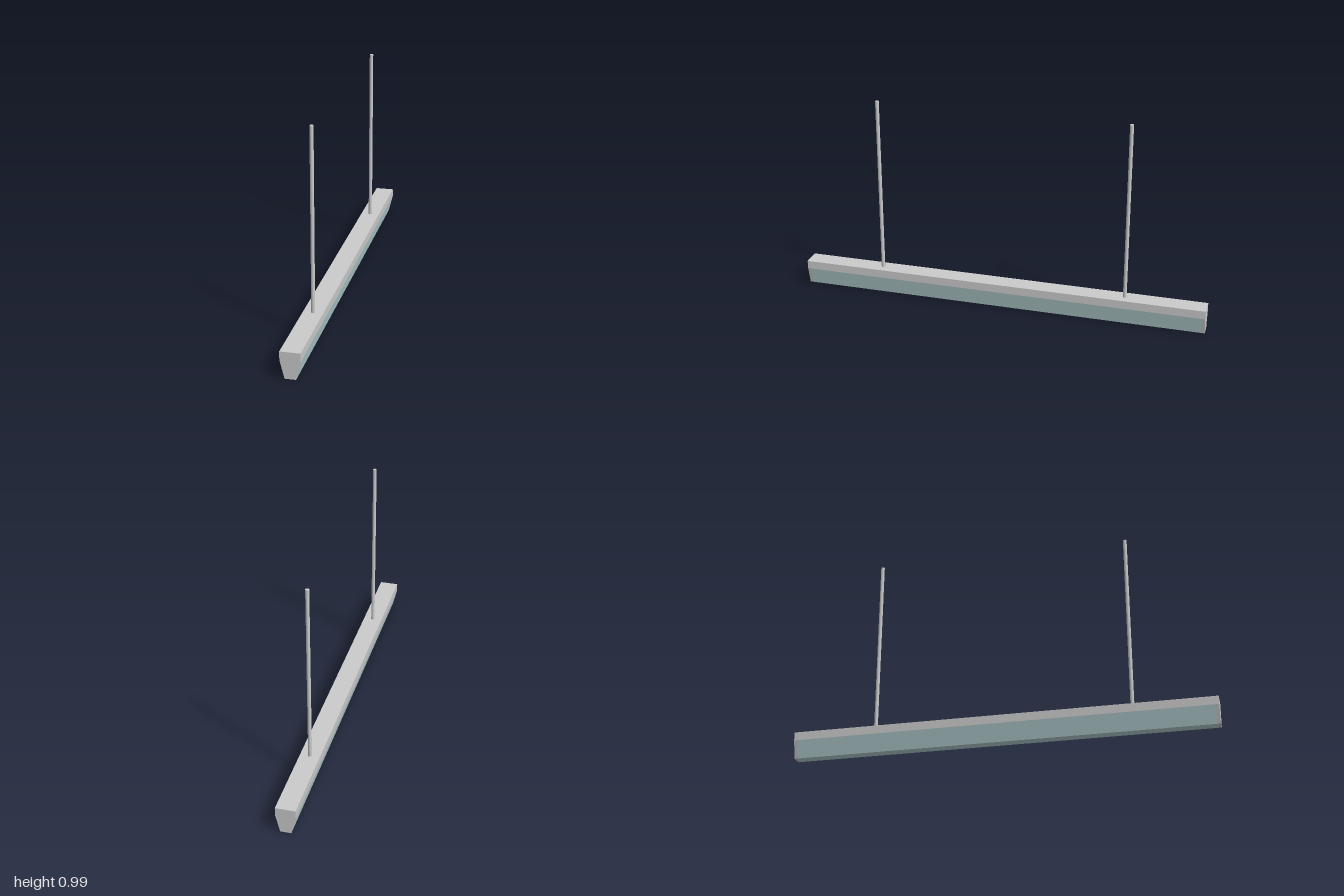
import * as THREE from 'three';

const grey = new THREE.MeshStandardMaterial({ color: 0xcccccc });
const tinted = new THREE.MeshStandardMaterial({ color: 0xbcd8da });

const TOP = 0.125, SHOULDER = 0.085, HALF = 0.046, FOOT = 0.025, CAP = 0.015;

// Prism with the given x/y outline, centred on z
function prism(name, points, length, z, material) {
  const shape = new THREE.Shape(points.map(([x, y]) => new THREE.Vector2(x, y)));
  const geometry = new THREE.ExtrudeGeometry(shape, { depth: length, bevelEnabled: false });
  geometry.translate(0, 0, z - length / 2);
  const mesh = new THREE.Mesh(geometry, material);
  mesh.name = name;
  return mesh;
}

export function createModel() {
  const model = new THREE.Group();
  model.name = 'pendantLinearLamp';
  const inner = 2 - 2 * CAP;

  // Upper housing and the tapered diffuser below it
  const housing = [[-HALF, SHOULDER], [HALF, SHOULDER], [HALF, TOP], [-HALF, TOP]];
  const diffuser = [[-FOOT, 0], [FOOT, 0], [HALF, SHOULDER], [-HALF, SHOULDER]];
  model.add(prism('housing', housing, inner, 0, grey));
  model.add(prism('diffuser', diffuser, inner, 0, tinted));

  // End caps close the full outline; rods hang the lamp
  const outline = [[-FOOT, 0], [FOOT, 0], [HALF, SHOULDER], [HALF, TOP], [-HALF, TOP], [-HALF, SHOULDER]];
  const rodGeometry = new THREE.CylinderGeometry(0.009, 0.009, 0.99 - TOP, 12);
  for (const [side, label] of [[1, 'front'], [-1, 'back']]) {
    model.add(prism(label + 'EndCap', outline, CAP, side * (1 - CAP / 2), grey));
    const rod = new THREE.Mesh(rodGeometry, grey);
    rod.name = label + 'SuspensionRod';
    rod.position.set(0, (0.99 + TOP) / 2, side * 0.61);
    model.add(rod);
  }
  return model;
}
